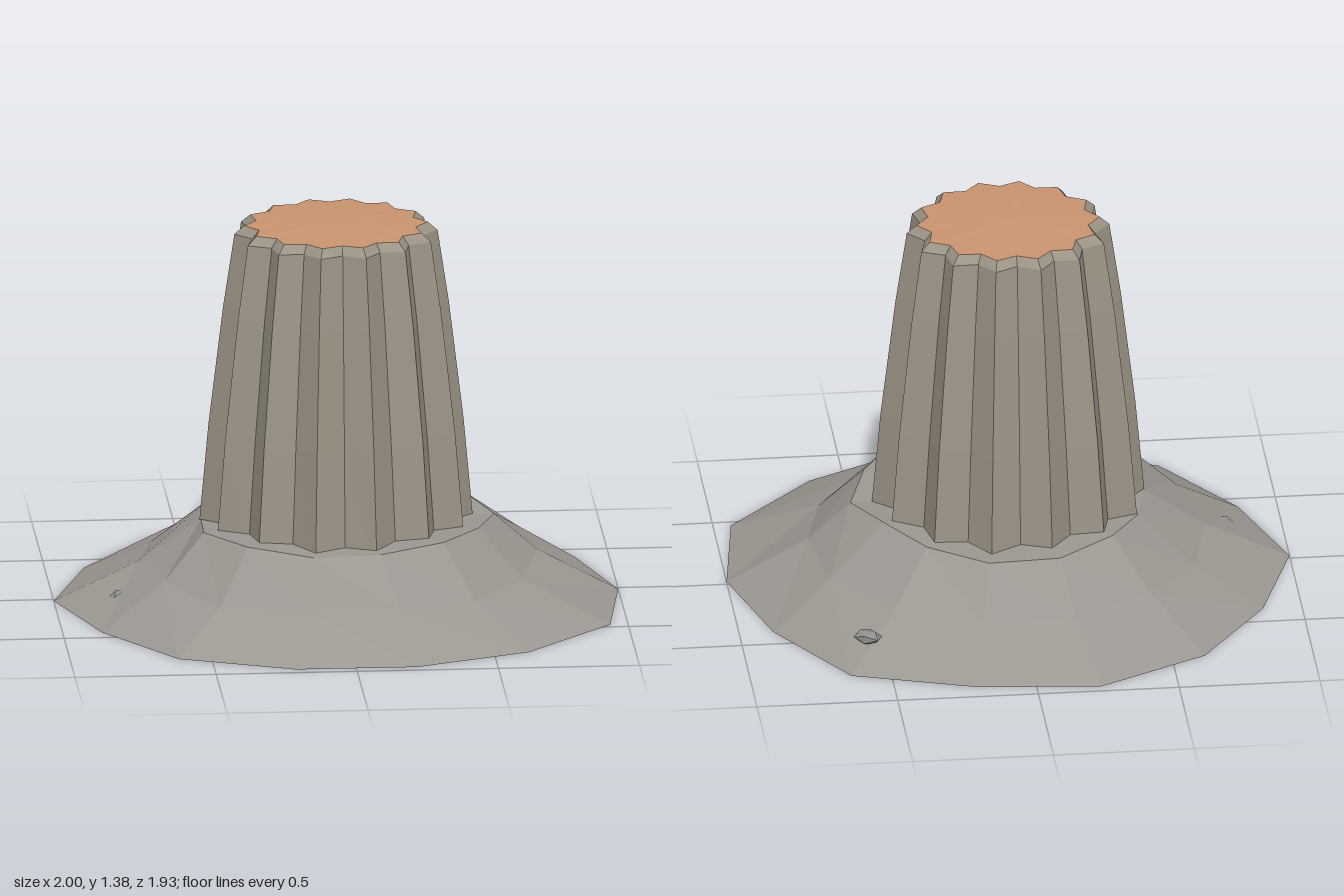
import * as THREE from 'three';

const SIDES = 14;
const CENTRE_Z = 0.02;

function material(color, side = THREE.DoubleSide) {
  return new THREE.MeshStandardMaterial({ color, flatShading: true, side });
}

// A ring of points from radius and height rules, starting at +x and turning towards +z
function ring(count, radius, height) {
  return Array.from({ length: count }, (_, k) => {
    const a = (k / count) * Math.PI * 2;
    return new THREE.Vector3(Math.cos(a) * radius(k), height(k), CENTRE_Z + Math.sin(a) * radius(k));
  });
}

// Joins rings from bottom to top; an optional apex closes the top with a fan
function loft(rings, apex) {
  const points = [];
  const n = rings[0].length;
  for (let i = 0; i < rings.length - 1; i++) {
    for (let k = 0; k < n; k++) {
      const j = (k + 1) % n;
      const [low, high] = [rings[i], rings[i + 1]];
      points.push(low[k], high[k], high[j], low[k], high[j], low[j]);
    }
  }
  if (apex) {
    const top = rings[rings.length - 1];
    top.forEach((p, k) => points.push(p, apex, top[(k + 1) % n]));
  }
  const geometry = new THREE.BufferGeometry().setFromPoints(points);
  geometry.computeVertexNormals();
  return geometry;
}

function addMesh(parent, name, geometry, mat) {
  const mesh = new THREE.Mesh(geometry, mat);
  mesh.name = name;
  parent.add(mesh);
  return mesh;
}

export function createModel() {
  const model = new THREE.Group();
  model.name = 'flutedStump';

  // Hollow, uneven mound with a flat ledge on top
  const outer = [1, 1.04, 1, 0.965, 0.963, 0.99, 0.955, 1, 0.957, 0.99, 1.01, 0.965, 1.03, 0.975];
  const middle = [0.71, 0.71, 0.72, 0.75, 0.69, 0.73, 0.7, 0.7, 0.7, 0.72, 0.74, 0.73, 0.73, 0.74];
  const inner = [0.56, 0.54, 0.56, 0.535, 0.54, 0.555, 0.54, 0.48, 0.49, 0.525, 0.57, 0.555, 0.53, 0.515];
  const mound = loft([
    ring(SIDES, (k) => outer[k], () => 0),
    ring(SIDES, (k) => middle[k], (k) => 0.14 + 0.015 * Math.cos(k * 2)),
    ring(SIDES, (k) => inner[k], (k) => 0.3 + 0.012 * Math.sin(k * 1.7 - 1.5)),
  ], new THREE.Vector3(0, 0.3, CENTRE_Z));
  addMesh(model, 'mound', mound, material(0x9b9791));

  // Tapered trunk: each entry is [height, ridge radius, groove radius]
  const profile = [
    [0.22, 0.49, 0.425], [0.64, 0.452, 0.39], [1.07, 0.4, 0.345],
    [1.335, 0.36, 0.31], [1.365, 0.325, 0.285],
  ];
  const trunkRings = profile.map(([y, ridge, groove]) =>
    ring(SIDES * 2, (k) => (k % 2 ? groove : ridge), () => y));
  addMesh(model, 'flutedTrunk', loft(trunkRings), material(0x9c9486));

  // Slightly domed cut face
  const cutFace = loft([trunkRings[trunkRings.length - 1]], new THREE.Vector3(0, 1.38, CENTRE_Z));
  addMesh(model, 'cutFace', cutFace, material(0xc9946f));

  // Small stones, one breaking through the slope and the rest beneath it
  const stones = new THREE.Group();
  stones.name = 'stones';
  model.add(stones);
  const stoneGeometry = new THREE.IcosahedronGeometry(0.045, 0);
  const stoneMaterial = material(0x8f8f8d, THREE.FrontSide);
  [
    [0.57, 0.085, -0.65], [0.73, 0.06, 0.04], [0.66, 0.06, -0.11], [0.06, 0.06, -0.61], [0.45, 0.06, 0.4],
    [-0.69, 0.06, -0.25], [-0.2, 0.07, 0.6], [-0.23, 0.05, 0.65], [-0.77, 0.06, 0.18],
  ].forEach(([x, y, z], i) => {
    const stone = addMesh(stones, 'stone', stoneGeometry, stoneMaterial);
    stone.position.set(x, y, z);
    stone.rotation.y = -0.45 + i * 1.3;
    stone.scale.set(1.2, 0.6, 0.8);
  });

  return model;
}
